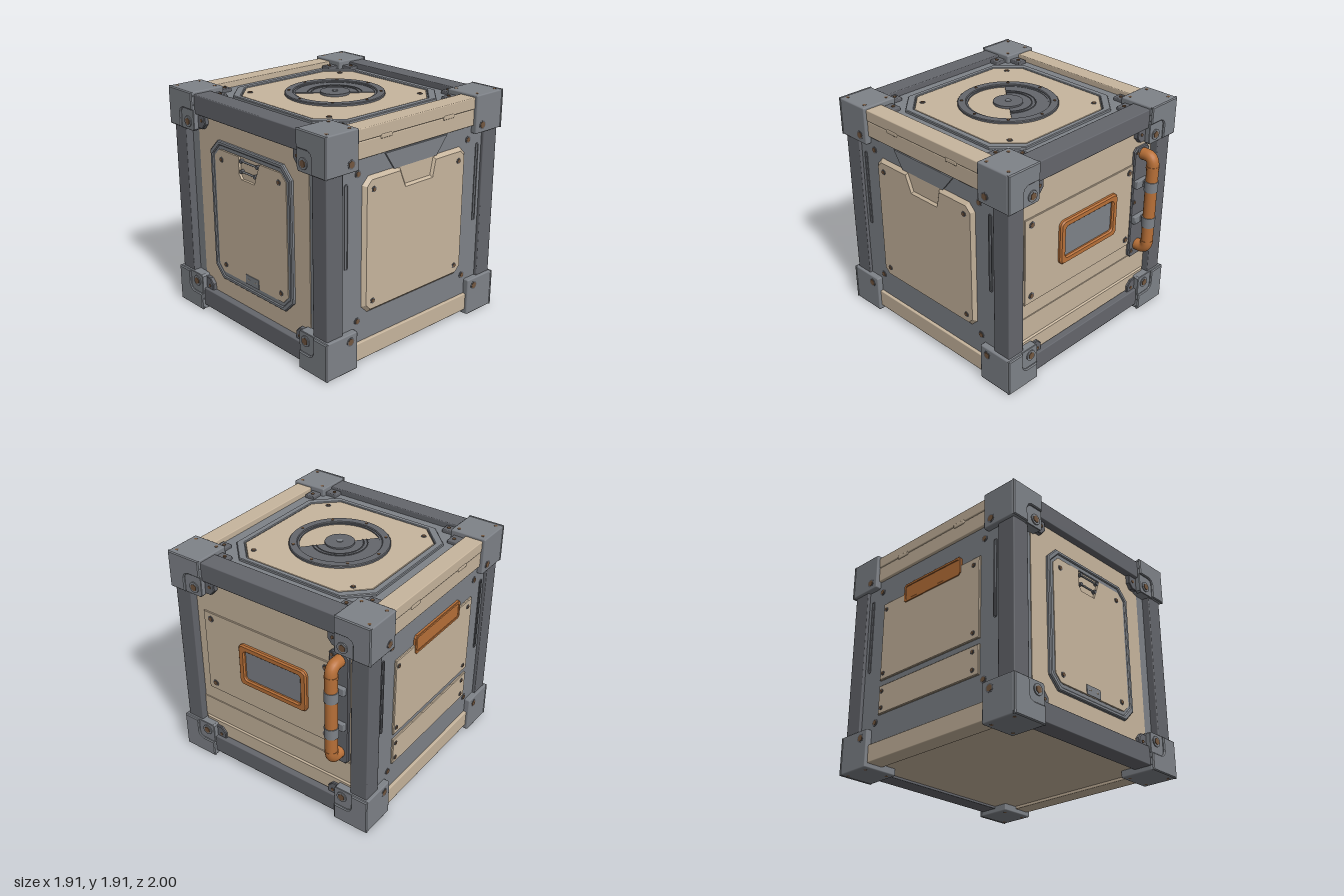
import * as THREE from 'three';
import { RoundedBoxGeometry } from 'three/addons/geometries/RoundedBoxGeometry.js';

const mat = (color) => new THREE.MeshStandardMaterial({ color });
const TAN = mat(0xc7b59d), STEEL = mat(0x7e8288), DARK = mat(0x64666c);
const ORANGE = mat(0xb87038), BRONZE = mat(0x735740);

function add(group, name, geometry, material) {
  const mesh = new THREE.Mesh(geometry, material);
  mesh.name = name;
  group.add(mesh);
  return mesh;
}

// Box given by its limits, with slightly eased edges
function block(group, name, material, [x0, x1], [y0, y1], [z0, z1], ease = 0.008) {
  const g = new RoundedBoxGeometry(x1 - x0, y1 - y0, z1 - z0, 1, ease);
  g.translate((x0 + x1) / 2, (y0 + y1) / 2, (z0 + z1) / 2);
  return add(group, name, g, material);
}

// Outlines
const poly = (pts) => new THREE.Shape(pts.map(([x, y]) => new THREE.Vector2(x, y)));
const rect = (x0, x1, y0, y1, c = 0) => poly(c === 0
  ? [[x0, y0], [x1, y0], [x1, y1], [x0, y1]]
  : [[x0 + c, y0], [x1 - c, y0], [x1, y0 + c], [x1, y1 - c],
    [x1 - c, y1], [x0 + c, y1], [x0, y1 - c], [x0, y0 + c]]);
function roundRect(x0, x1, y0, y1, r) {
  const s = new THREE.Shape(), q = Math.PI / 2;
  s.absarc(x1 - r, y0 + r, r, -q, 0);
  s.absarc(x1 - r, y1 - r, r, 0, q);
  s.absarc(x0 + r, y1 - r, r, q, 2 * q);
  s.absarc(x0 + r, y0 + r, r, 2 * q, 3 * q);
  return s;
}
function disc(r, start = 0, length = Math.PI * 2) {
  const s = new THREE.Shape();
  s.absarc(0, 0, r, start, start + length);
  return s;
}

// Plate raised from z0 to z1, with a bevel inside its outline and optional hole
function slab(group, name, material, shape, z0, z1, bevel = 0, hole = null) {
  if (hole) shape.holes.push(hole);
  const g = new THREE.ExtrudeGeometry(shape, {
    depth: Math.max(z1 - z0 - bevel, 0.001), bevelEnabled: bevel > 0, bevelThickness: bevel,
    bevelSize: bevel, bevelOffset: -bevel, bevelSegments: 1, curveSegments: 24,
  });
  g.translate(0, 0, z0);
  return add(group, name, g, material);
}

function peg(group, name, material, x, y, z0, z1, r, sides = 16) {
  const g = new THREE.CylinderGeometry(r, r, z1 - z0, sides);
  g.rotateX(Math.PI / 2);
  g.translate(x, y, (z0 + z1) / 2);
  return add(group, name, g, material);
}
function bolt(group, x, y, z, r = 0.016) {
  peg(group, 'boltWasher', DARK, x, y, z - 0.01, z + 0.004, r * 1.4);
  peg(group, 'bolt', BRONZE, x, y, z - 0.01, z + 0.008, r, 6);
}

function buildFrame(root) {
  block(root, 'innerBody', STEEL, [-0.87, 0.87], [0.08, 1.83], [-0.83, 0.83]);
  block(root, 'floorPlate', TAN, [-0.77, 0.77], [0.06, 0.1], [-0.78, 0.78]);
  for (const s of [-1, 1]) {
    const span = (a, b) => (s > 0 ? [a, b] : [-b, -a]);
    for (const t of [-1, 1]) {
      block(root, 'post', DARK, span(0.77, 0.925), [0.2, 1.75], t > 0 ? [0.765, 0.925] : [-0.925, -0.765]);
    }
    block(root, 'topBeam', DARK, [-0.75, 0.75], [1.73, 1.89], span(0.755, 0.925));
    block(root, 'bottomBeam', DARK, [-0.75, 0.75], [0.04, 0.2], span(0.765, 0.925));
    block(root, 'sideRailTop', TAN, span(0.77, 0.925), [1.795, 1.89], [-0.78, 0.78]);
    block(root, 'sideRailLower', TAN, span(0.77, 0.92), [1.66, 1.793], [-0.78, 0.78]);
    block(root, 'sideRailBottom', TAN, span(0.77, 0.925), [0.04, 0.19], [-0.78, 0.78]);
    for (const z of [-0.335, 0.335]) {
      block(root, 'railClip', TAN, span(0.9, 0.929), [1.775, 1.81], [z - 0.06, z + 0.06]);
    }
    for (const t of [-1, 1]) {
      const zs = t > 0 ? [0.635, 0.938] : [-0.938, -0.635];
      block(root, 'cornerBlock', STEEL, span(0.635, 0.95), [0, 0.32], zs, 0.012);
      block(root, 'cornerBlock', STEEL, span(0.635, 0.95), [1.595, 1.91], zs, 0.012);
    }
  }
}

// Notched corner covers, tabs and brackets shared by front and back
function cornerCovers(face) {
  for (const sx of [-1, 1]) for (const sy of [-1, 1]) {
    const corner = new THREE.Group();
    corner.name = 'cornerCover';
    corner.position.y = 0.955;
    const P = (x, y) => [x * sx, y * sy];
    slab(corner, 'cover', STEEL, poly([P(0.635, 0.81), P(0.755, 0.81), P(0.785, 0.795), P(0.8, 0.765),
      P(0.8, 0.64), P(0.95, 0.64), P(0.95, 0.955), P(0.635, 0.955)]), 0.935, 0.955, 0.008);
    slab(corner, 'tab', STEEL, poly([P(0.63, 0.65), P(0.645, 0.635), P(0.8, 0.635), P(0.8, 0.81),
      P(0.63, 0.81)]), 0.9, 0.942, 0.004);
    peg(corner, 'boltRing', STEEL, 0.705 * sx, 0.705 * sy, 0.93, 0.95, 0.045, 24);
    peg(corner, 'cornerBolt', BRONZE, 0.705 * sx, 0.705 * sy, 0.93, 0.955, 0.03, 6);
    slab(corner, 'bracket', DARK, poly([P(0.54, 0.775), P(0.54, 0.7), P(0.58, 0.655), P(0.65, 0.655),
      P(0.65, 0.775)]), 0.84, 0.9, 0.006);
    peg(corner, 'bracketBolt', BRONZE, 0.585 * sx, 0.725 * sy, 0.88, 0.906, 0.014, 6);
    face.add(corner);
  }
}

function buildFront(f) {
  slab(f, 'frontPlate', TAN, rect(-0.675, 0.675, 0.19, 1.74), 0.82, 0.865);
  for (const s of [-1, 1]) block(f, 'sideStrip', STEEL, [s * 0.725 - 0.055, s * 0.725 + 0.055], [0.2, 1.73], [0.8, 0.86]);
  slab(f, 'hatchFrame', STEEL, rect(-0.5, 0.5, 0.36, 1.56, 0.1), 0.86, 0.89, 0.008, rect(-0.465, 0.465, 0.395, 1.525, 0.09));
  slab(f, 'hatchInnerFrame', STEEL, rect(-0.47, 0.47, 0.39, 1.53, 0.09), 0.86, 0.88, 0, rect(-0.435, 0.435, 0.425, 1.495, 0.075));
  slab(f, 'hatchPanel', TAN, poly([[-0.38, 0.43], [0.38, 0.43], [0.44, 0.49], [0.44, 1.43], [0.38, 1.49], [0.13, 1.49],
    [0.06, 1.31], [-0.1, 1.31], [-0.13, 1.35], [-0.13, 1.49], [-0.38, 1.49], [-0.44, 1.43], [-0.44, 0.49]]), 0.86, 0.886);
  for (const x of [-0.355, 0.355]) for (const y of [0.5, 1.41]) bolt(f, x, y, 0.886);
  // Latch rods in the notch
  for (const [y, x1] of [[1.46, 0.1], [1.375, 0.07]]) {
    const g = new THREE.CylinderGeometry(0.008, 0.008, x1 + 0.1, 10);
    g.rotateZ(Math.PI / 2);
    g.translate((x1 - 0.1) / 2, y, 0.88);
    add(f, 'latchRod', g, STEEL);
    for (const x of [-0.1, x1]) peg(f, 'latchPin', DARK, x, y, 0.86, 0.892, 0.016);
  }
  slab(f, 'smallPlate', STEEL, rect(-0.085, 0.08, 0.43, 0.51), 0.88, 0.892);
  for (const x of [-0.055, -0.035, 0.035, 0.05]) peg(f, 'smallPlateRivet', TAN, x, 0.472, 0.88, 0.894, 0.005, 8);
}

function buildBack(f) {
  slab(f, 'backPlate', TAN, rect(-0.77, 0.77, 0.19, 1.74), 0.82, 0.86);
  slab(f, 'backPanel', TAN, rect(-0.7, 0.56, 0.67, 1.42), 0.85, 0.87, 0.004);
  slab(f, 'lowerPanel', TAN, rect(-0.77, 0.77, 0.3, 0.55), 0.84, 0.868);
  slab(f, 'lowerStep', TAN, rect(-0.77, 0.77, 0.19, 0.36), 0.84, 0.88, 0.02);
  for (const x of [-0.63, 0.5]) for (const y of [0.735, 1.36]) bolt(f, x, y, 0.87, 0.02);
  slab(f, 'windowFrame', ORANGE, roundRect(-0.335, 0.335, 0.875, 1.26, 0.05), 0.86, 0.9, 0.012,
    roundRect(-0.275, 0.275, 0.935, 1.2, 0.025));
  slab(f, 'window', STEEL, rect(-0.29, 0.29, 0.92, 1.215), 0.86, 0.876);
  // Handle pipe with its mount and clamps
  slab(f, 'pipeMount', DARK, rect(0.54, 0.72, 0.54, 1.56, 0.03), 0.85, 0.885, 0.008);
  const V = (y, z) => new THREE.Vector3(0.64, y, z);
  const path = new THREE.CurvePath();
  path.add(new THREE.LineCurve3(V(0.645, 0.86), V(0.645, 0.925)));
  path.add(new THREE.QuadraticBezierCurve3(V(0.645, 0.925), V(0.645, 0.99), V(0.72, 0.99)));
  path.add(new THREE.LineCurve3(V(0.72, 0.99), V(1.42, 0.99)));
  path.add(new THREE.QuadraticBezierCurve3(V(1.42, 0.99), V(1.495, 0.99), V(1.495, 0.925)));
  path.add(new THREE.LineCurve3(V(1.495, 0.925), V(1.495, 0.86)));
  add(f, 'pipe', new THREE.TubeGeometry(path, 80, 0.05, 20), ORANGE);
  for (const [y, h, r, name, m] of [[0.91, 0.09, 0.057, 'pipeClamp', STEEL], [1.24, 0.09, 0.057, 'pipeClamp', STEEL],
    [0.72, 0.02, 0.054, 'pipeCollar', ORANGE], [1.41, 0.02, 0.054, 'pipeCollar', ORANGE]]) {
    add(f, name, new THREE.CylinderGeometry(r, r, h, 24), m).position.set(0.64, y, 0.988);
    if (m === STEEL) {
      block(f, 'clampFoot', STEEL, [0.55, 0.7], [y - 0.035, y + 0.035], [0.86, 0.92]);
      block(f, 'clampStem', STEEL, [0.62, 0.66], [y - 0.03, y + 0.03], [0.88, 0.96]);
    }
  }
  for (const y of [0.6, 1.07, 1.52]) bolt(f, 0.57, y, 0.885, 0.015);
}

// Details common to both side walls
function sideWall(f) {
  slab(f, 'sidePlate', STEEL, rect(-0.77, 0.77, 0.19, 1.655), 0.86, 0.9);
  for (const s of [-1, 1]) {
    slab(f, 'slotRim', DARK, roundRect(s * 0.715 - 0.018, s * 0.715 + 0.018, 0.83, 1.5, 0.017), 0.88, 0.906, 0,
      roundRect(s * 0.715 - 0.009, s * 0.715 + 0.009, 0.84, 1.49, 0.008));
    for (const y of [0.37, 1.55]) bolt(f, s * 0.6, y, 0.9, 0.021);
    for (const y of [0.255, 1.66]) {
      peg(f, 'boltRing', DARK, s * 0.71, y, 0.94, 0.952, 0.036, 24);
      peg(f, 'cornerBolt', BRONZE, s * 0.71, y, 0.94, 0.955, 0.028, 6);
    }
  }
}
function buildLeft(f) {
  slab(f, 'sidePanel', TAN, poly([[-0.5, 0.41], [0.5, 0.41], [0.565, 0.475], [0.565, 1.455], [0.5, 1.52], [0.17, 1.52],
    [0.14, 1.38], [-0.11, 1.38], [-0.17, 1.52], [-0.5, 1.52], [-0.565, 1.455], [-0.565, 0.475]]), 0.88, 0.928, 0.034);
  slab(f, 'panelNotchPlate', TAN, rect(-0.2, 0.2, 1.3, 1.51), 0.88, 0.91);
  slab(f, 'panelHanger', STEEL, poly([[-0.335, 1.65], [-0.24, 1.51], [0.22, 1.51], [0.335, 1.65]]), 0.88, 0.914);
  for (const x of [-0.465, 0.465]) for (const y of [0.51, 1.41]) bolt(f, x, y, 0.928, 0.016);
}
function buildRight(f) {
  slab(f, 'upperPanel', TAN, rect(-0.555, 0.565, 0.715, 1.41), 0.88, 0.916, 0.006);
  slab(f, 'lowerPanel', TAN, rect(-0.555, 0.565, 0.42, 0.665), 0.88, 0.916, 0.006);
  slab(f, 'ventFrame', ORANGE, rect(-0.3, 0.36, 1.325, 1.49, 0.02), 0.88, 0.922, 0.004, rect(-0.275, 0.335, 1.35, 1.465, 0.01));
  slab(f, 'ventBack', ORANGE, rect(-0.29, 0.35, 1.335, 1.48), 0.88, 0.917);
  for (const x of [-0.52, 0.5]) for (const y of [0.47, 0.615, 0.77, 1.35]) bolt(f, x, y, 0.916, 0.014);
}

function buildTop(f) {
  slab(f, 'topPlate', STEEL, rect(-0.78, 0.78, -0.77, 0.77), 1.8, 1.842);
  slab(f, 'lidFrame', STEEL, rect(-0.67, 0.67, -0.66, 0.66, 0.19), 1.83, 1.865, 0.006, rect(-0.615, 0.615, -0.615, 0.615, 0.18));
  slab(f, 'lid', TAN, rect(-0.61, 0.61, -0.61, 0.61, 0.18), 1.83, 1.86, 0.004);
  slab(f, 'fanRing', DARK, disc(0.405), 1.85, 1.88, 0.006, disc(0.335));
  slab(f, 'fanLip', DARK, disc(0.34), 1.85, 1.87, 0, disc(0.32));
  const a = 0.87;
  slab(f, 'fanCover', DARK, disc(0.325, a, Math.PI), 1.85, 1.867);
  for (const r of [0.19, 0.22]) {
    const arc = new THREE.TorusGeometry(r, 0.005, 6, 32, Math.PI);
    arc.rotateZ(a);
    arc.translate(0, 0, 1.868);
    add(f, 'fanRib', arc, DARK);
  }
  peg(f, 'fanHub', DARK, 0, 0, 1.85, 1.88, 0.12, 32);
  peg(f, 'hubBolt', STEEL, 0, 0, 1.87, 1.885, 0.025);
  for (let i = 0; i < 8; i++) {
    const t = i * Math.PI / 4;
    peg(f, 'ringBolt', BRONZE, 0.37 * Math.cos(t), 0.37 * Math.sin(t), 1.87, 1.885, 0.012, 6);
  }
  for (const x of [-1, 1]) for (const y of [-1, 1]) {
    bolt(f, x * 0.475, y * 0.49, 1.86);
    for (const [u, v, w, h] of [[0.59, 0.715, 0.055, 0.045], [0.71, 0.585, 0.045, 0.055]]) {
      block(f, 'lidBracket', DARK, [x * u - w, x * u + w], [y * v - h, y * v + h], [1.83, 1.87]);
      peg(f, 'bracketBolt', BRONZE, x * (u - w + 0.04), y * (v - h + 0.045), 1.86, 1.877, 0.015, 6);
    }
  }
}

// Three bolts on the outer end of every corner block
function cornerBolts(f, height) {
  for (const x of [-1, 1]) for (const y of [-1, 1]) {
    for (const [u, v] of [[0.9, 0.9], [0.9, 0.685], [0.685, 0.685]]) bolt(f, x * u, y * v, height, 0.015);
  }
}

export function createModel() {
  const model = new THREE.Group();
  model.name = 'crate';
  const root = new THREE.Group();
  root.name = 'crateBody';
  root.position.z = 0.045;
  model.add(root);
  buildFrame(root);
  // Each wall is built facing +z, then turned into place
  const q = Math.PI / 2;
  const walls = [['frontWall', 0, 0, [cornerCovers, buildFront]], ['backWall', 0, Math.PI, [cornerCovers, buildBack]],
    ['leftWall', 0, q, [sideWall, buildLeft]], ['rightWall', 0, -q, [sideWall, buildRight]],
    ['lidWall', -q, 0, [buildTop, (f) => cornerBolts(f, 1.904)]], ['underside', q, 0, [(f) => cornerBolts(f, -0.007)]]];
  for (const [name, rx, ry, builders] of walls) {
    const face = new THREE.Group();
    face.name = name;
    face.rotation.set(rx, ry, 0);
    builders.forEach((build) => build(face));
    root.add(face);
  }
  return model;
}
